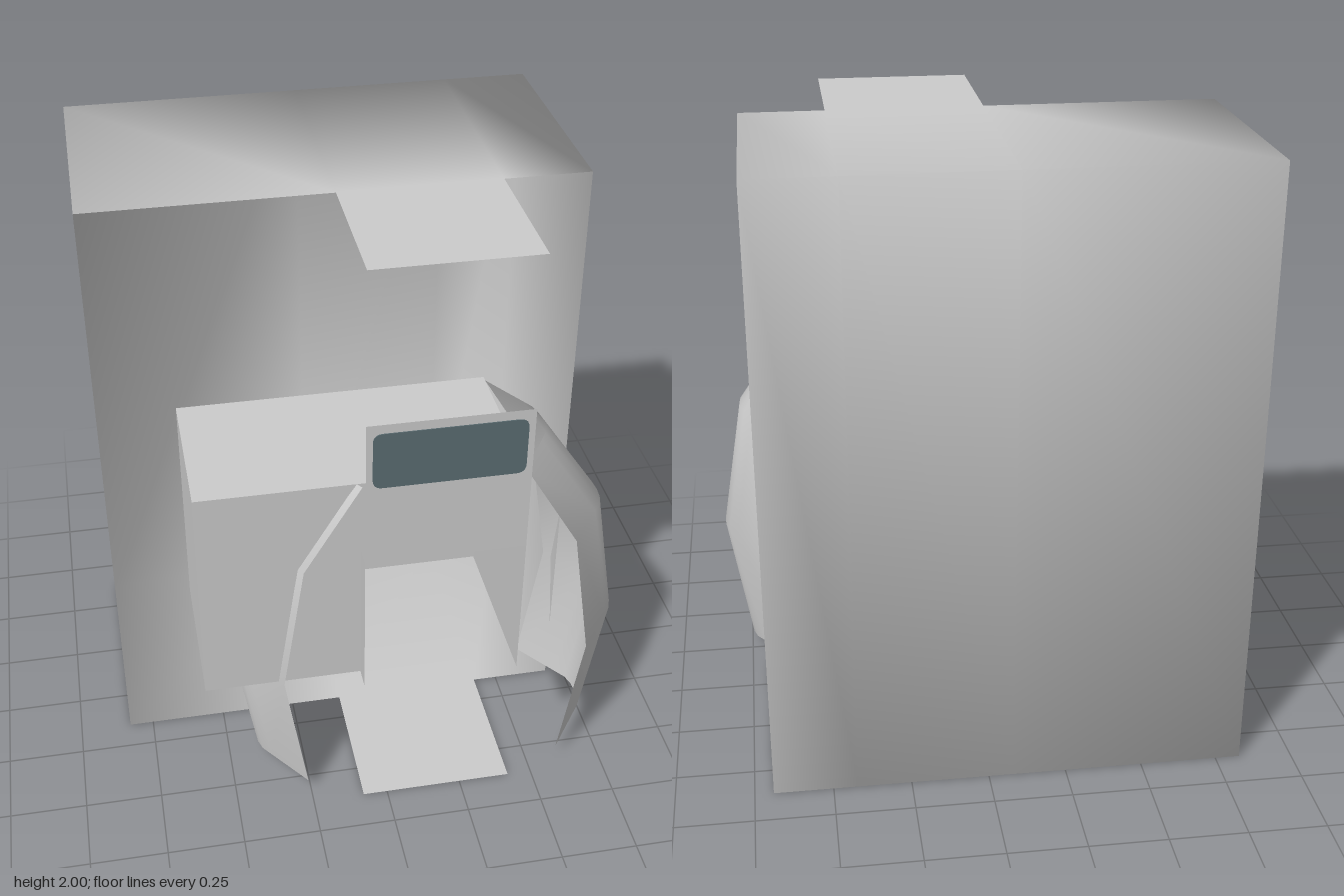
import * as THREE from 'three';

const grey = new THREE.MeshStandardMaterial({ color: 0xcccccc, side: THREE.DoubleSide });
grey.name = 'grey';
const glass = new THREE.MeshStandardMaterial({ color: 0x5b6d72 });
glass.name = 'dark glass';

const MID = 0.17; // centre line of the inner parts
const BACK = 0.05, FRONT = 0.55, LIP = 0.62; // depths of the inner box

function mesh(name, geometry, material = grey) {
  const m = new THREE.Mesh(geometry, material);
  m.name = name;
  return m;
}

function indexed(points, index) {
  const g = new THREE.BufferGeometry();
  g.setAttribute('position', new THREE.Float32BufferAttribute(points, 3));
  g.setIndex(index);
  g.computeVertexNormals();
  return g;
}

// Thin sheets facing z, x and y
function sheetZ(name, x0, x1, y0, y1, z) {
  return mesh(name, new THREE.PlaneGeometry(x1 - x0, y1 - y0).translate((x0 + x1) / 2, (y0 + y1) / 2, z));
}
function sheetX(name, x, y0, y1, z0, z1) {
  const g = new THREE.PlaneGeometry(z1 - z0, y1 - y0).rotateY(Math.PI / 2);
  return mesh(name, g.translate(x, (y0 + y1) / 2, (z0 + z1) / 2));
}
function sheetY(name, x0, x1, y, z0, z1) {
  const g = new THREE.PlaneGeometry(x1 - x0, z1 - z0).rotateX(-Math.PI / 2);
  return mesh(name, g.translate((x0 + x1) / 2, y, (z0 + z1) / 2));
}

// Open-fronted outer shell with a tab on its top and bottom, smooth across its edges
function shellGeometry() {
  const columns = [-0.83, -0.08, 0.42, 0.69];
  const profile = [[0, 0.15], [0, -0.62], [2, -0.62], [2, 0.15]];
  const p = [], index = [];
  const quad = (a, b, c, d) => index.push(a, b, c, a, c, d);
  for (const x of columns) for (const [y, z] of profile) p.push(x, y, z);
  for (let i = 0; i < 3; i++) {
    for (let j = 0; j < 3; j++) {
      const a = i * 4 + j;
      quad(a, a + 1, a + 5, a + 4);
    }
  }
  quad(3, 2, 1, 0);
  quad(12, 13, 14, 15);
  for (const y of [0, 2]) for (const x of [-0.08, 0.42]) p.push(x, y, LIP);
  quad(16, 4, 8, 17);
  quad(18, 19, 11, 7);
  return indexed(p, index);
}

// Bowed side strip: a curved section carried down through four heights
function armGeometry(side) {
  const stations = [[1.25, 0.25, 0.12], [0.95, 0.43, 0.145], [0.5, 0.5, 0.15], [0.05, 0.43, 0.145]];
  const section = [[0.25, 0], [0.11, 0.72], [0.075, 0.9], [0.04, 0.98], [0, 1],
    [-0.04, 0.98], [-0.075, 0.9], [-0.11, 0.72], [-0.25, 0]];
  const n = section.length, p = [], index = [];
  for (const [y, edge, bow] of stations) {
    for (const [z, k] of section) p.push(MID + side * (edge + bow * k), y, 0.32 + z);
  }
  for (let i = 0; i < stations.length - 1; i++) {
    for (let j = 0; j < n - 1; j++) {
      const a = i * n + j, b = a + 1, c = a + n, d = c + 1;
      if (side > 0) index.push(a, c, d, a, d, b);
      else index.push(a, d, c, a, b, d);
    }
  }
  return indexed(p, index);
}

// Rounded plate for the window
function windowGeometry(w, h, r, depth) {
  const s = new THREE.Shape();
  const x = w / 2, y = h / 2;
  s.moveTo(-x + r, -y);
  s.lineTo(x - r, -y);
  s.quadraticCurveTo(x, -y, x, -y + r);
  s.lineTo(x, y - r);
  s.quadraticCurveTo(x, y, x - r, y);
  s.lineTo(-x + r, y);
  s.quadraticCurveTo(-x, y, -x, y - r);
  s.lineTo(-x, -y + r);
  s.quadraticCurveTo(-x, -y, -x + r, -y);
  return new THREE.ExtrudeGeometry(s, { depth, bevelEnabled: false, curveSegments: 5 });
}

export function createModel() {
  const model = new THREE.Group();
  model.name = 'model';

  model.add(mesh('outerShell', shellGeometry()));

  // Inner box, open below and in the middle of the front
  const box = new THREE.Group();
  box.name = 'innerBox';
  box.add(
    sheetY('boxTop', -0.58, 0.42, 1.25, BACK, FRONT),
    sheetZ('boxBack', -0.58, 0.42, 0.5, 1.25, BACK),
    sheetZ('boxFront', -0.58, -0.08, 0.5, 1.25, FRONT),
    sheetX('boxRightWall', -0.58, 0.5, 1.25, BACK, FRONT),
    sheetX('boxLeftWall', 0.42, 0.5, 1.25, BACK, FRONT),
    sheetX('rightLip', -0.08, 0.5, 1, FRONT, LIP),
    sheetX('leftLip', 0.42, 0.5, 1, FRONT, LIP)
  );
  model.add(box);

  // Upright front panel with its window, seen from both faces
  model.add(sheetZ('frontPanel', -0.08, 0.42, 1, 1.5, LIP));
  model.add(mesh('window', windowGeometry(0.46, 0.19, 0.03, 0.006).translate(MID, 1.375, LIP - 0.003), glass));

  // Mirrored side strips
  model.add(mesh('leftArm', armGeometry(1)), mesh('rightArm', armGeometry(-1)));

  return model;
}
